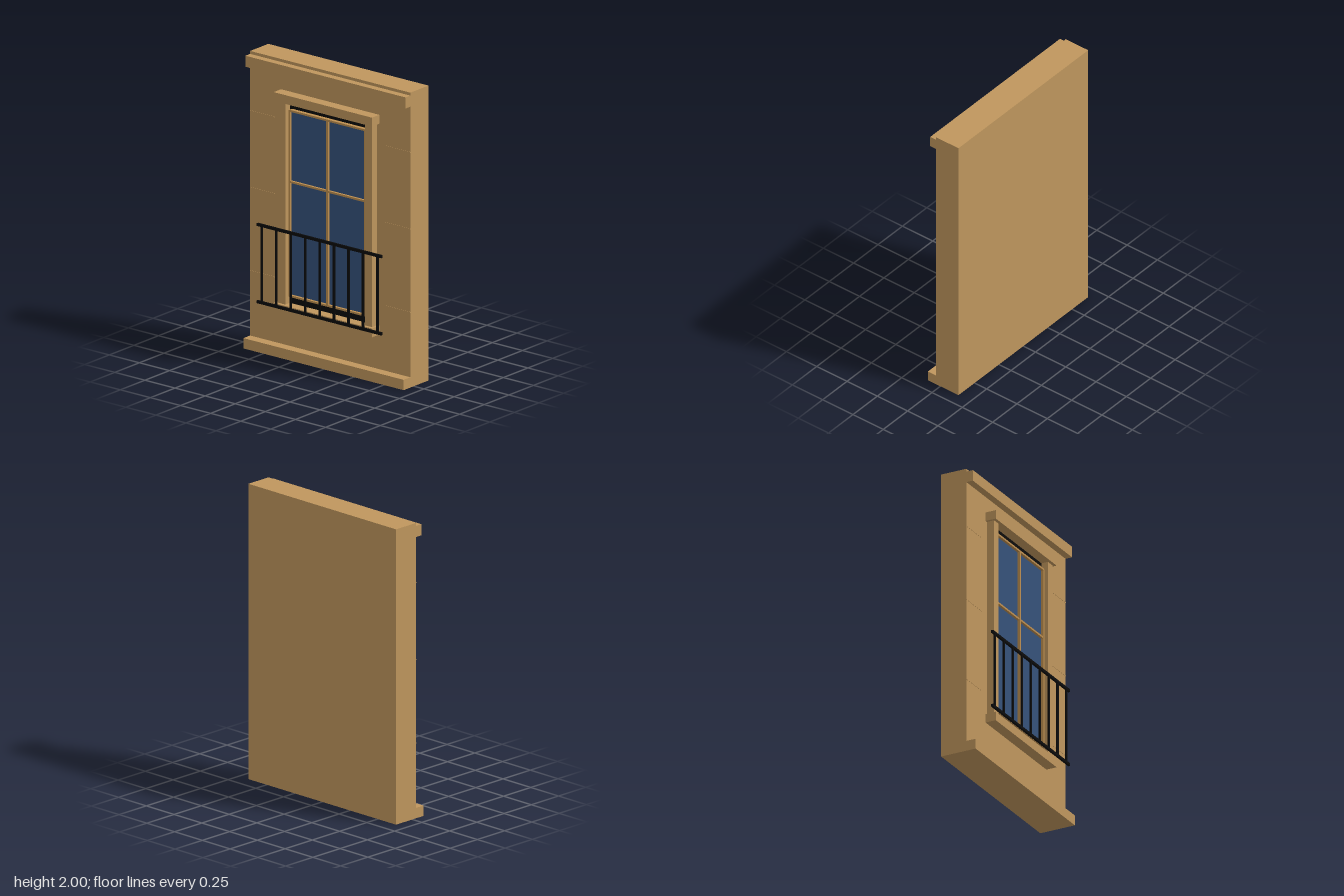
import * as THREE from 'three';

export function createModel() {
  const model = new THREE.Group();
  const mat = (name, color) => {
    const m = new THREE.MeshStandardMaterial({ color });
    m.name = name;
    return m;
  };
  const stone = mat('sandstone', 0xbf965d);
  const timber = mat('windowTimber', 0xbe8f50);
  const glass = mat('blueGlass', 0x35517a);
  const black = mat('black', 0x080808);

  // Box given by its limits on each axis
  const box = (name, material, [x0, x1], [y0, y1], [z0, z1], parent = model) => {
    const mesh = new THREE.Mesh(new THREE.BoxGeometry(x1 - x0, y1 - y0, z1 - z0), material);
    mesh.position.set((x0 + x1) / 2, (y0 + y1) / 2, (z0 + z1) / 2);
    mesh.name = name;
    parent.add(mesh);
    return mesh;
  };
  const group = (name) => {
    const g = new THREE.Group();
    g.name = name;
    model.add(g);
    return g;
  };

  const W = 0.665, FACE = 0.035;

  // Wall with plinth and cornice
  box('wall', stone, [-W, W], [0, 2], [-0.15, FACE]);
  box('plinth', stone, [-W, W], [0, 0.07], [FACE, 0.103]);
  box('cornice', stone, [-W, W], [1.905, 1.98], [FACE, 0.083]);

  // Fine stone courses beside the window
  const courses = group('stoneCourses');
  for (const y of [0.51, 1.075, 1.595]) {
    box('courseRight', stone, [-W, -0.46], [y - 0.003, y + 0.003], [FACE, FACE + 0.002], courses);
    box('courseLeft', stone, [0.46, W], [y - 0.003, y + 0.003], [FACE, FACE + 0.002], courses);
  }

  // Window surround
  const surround = group('surround');
  box('lintel', stone, [-0.408, 0.408], [1.735, 1.795], [FACE, 0.11], surround);
  box('sill', stone, [-0.408, 0.408], [0.305, 0.365], [FACE, 0.11], surround);
  box('jambRight', stone, [-0.39, -0.33], [0.365, 1.735], [FACE, 0.088], surround);
  box('jambLeft', stone, [0.33, 0.39], [0.365, 1.735], [FACE, 0.088], surround);

  // Dark opening, glass and timber frame
  const win = group('window');
  box('opening', black, [-0.33, 0.33], [0.365, 1.735], [FACE, 0.041], win);
  box('glass', glass, [-0.312, 0.312], [0.423, 1.677], [0.041, 0.05], win);

  const rounded = (shape, hw, y0, y1, r) => {
    shape.moveTo(-hw + r, y0);
    shape.lineTo(hw - r, y0);
    shape.quadraticCurveTo(hw, y0, hw, y0 + r);
    shape.lineTo(hw, y1 - r);
    shape.quadraticCurveTo(hw, y1, hw - r, y1);
    shape.lineTo(-hw + r, y1);
    shape.quadraticCurveTo(-hw, y1, -hw, y1 - r);
    shape.lineTo(-hw, y0 + r);
    shape.quadraticCurveTo(-hw, y0, -hw + r, y0);
    return shape;
  };
  const outline = rounded(new THREE.Shape(), 0.321, 0.415, 1.685, 0.012);
  outline.holes.push(rounded(new THREE.Path(), 0.308, 0.428, 1.672, 0.006));
  const frame = new THREE.Mesh(
    new THREE.ExtrudeGeometry(outline, { depth: 0.027, bevelEnabled: false, curveSegments: 3 }), timber);
  frame.position.z = 0.041;
  frame.name = 'windowFrame';
  win.add(frame);
  box('mullion', timber, [-0.008, 0.008], [0.425, 1.675], [0.045, 0.068], win);
  box('transom', timber, [-0.31, 0.31], [1.189, 1.202], [0.045, 0.066], win);

  // Balcony railing
  const railing = group('railing');
  for (const [name, y] of [['bottomRail', 0.36], ['topRail', 0.884]])
    box(name, black, [-0.517, 0.517], [y - 0.009, y + 0.009], [0.135, 0.15], railing);
  for (let i = -4; i <= 4; i++) {
    const x = i * 0.12;
    box('baluster', black, [x - 0.007, x + 0.007], [0.36, 0.884], [0.137, 0.148], railing);
  }

  return model;
}
